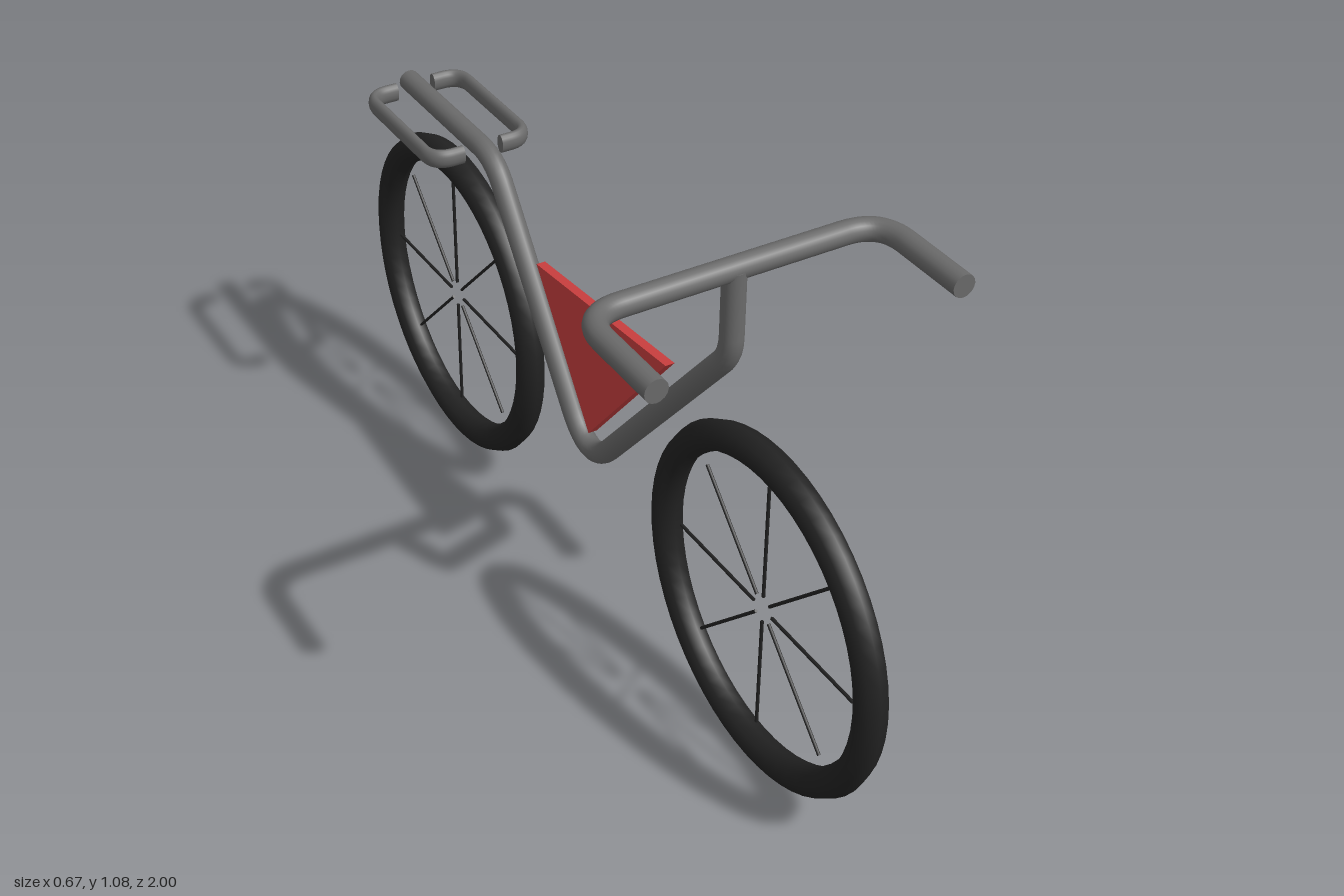
import * as THREE from 'three';

const material = (name, color, side = THREE.FrontSide) => {
  const m = new THREE.MeshStandardMaterial({ color, side });
  m.name = name;
  return m;
};

// Polyline with its inner corners rounded over the given distances
function roundedPath(points, radii) {
  const pts = points.map((p) => new THREE.Vector3(...p));
  const path = new THREE.CurvePath();
  let from = pts[0];
  for (let i = 1; i < pts.length - 1; i++) {
    const r = radii[i - 1];
    const toward = (q) => pts[i].clone().add(q.clone().sub(pts[i]).setLength(r));
    const a = toward(pts[i - 1]), b = toward(pts[i + 1]);
    path.add(new THREE.LineCurve3(from, a));
    path.add(new THREE.QuadraticBezierCurve3(a, pts[i], b));
    from = b;
  }
  path.add(new THREE.LineCurve3(from, pts[pts.length - 1]));
  return path;
}

// Round tube along a path, closed by a disc at each end
function cappedTube(name, path, radius, mat) {
  const group = new THREE.Group();
  group.name = name;
  const tube = new THREE.Mesh(new THREE.TubeGeometry(path, 110, radius, 16), mat);
  tube.name = name + 'Tube';
  group.add(tube);
  for (const t of [0, 1]) {
    const cap = new THREE.Mesh(new THREE.CircleGeometry(radius, 16), mat);
    cap.name = name + 'Cap';
    cap.position.copy(path.getPointAt(t));
    const outward = path.getTangentAt(t).multiplyScalar(t ? 1 : -1);
    cap.quaternion.setFromUnitVectors(new THREE.Vector3(0, 0, 1), outward);
    group.add(cap);
  }
  return group;
}

export function createModel() {
  const model = new THREE.Group();
  model.name = 'bicycle';
  const metal = material('grey metal', 0x6a6a6a);
  const rubber = material('black rubber', 0x222222);
  const red = material('red panel', 0xcc4040);

  // Wheels: tyre and eight loose spokes, without a hub
  const tyreGeo = new THREE.TorusGeometry(0.343, 0.032, 8, 56).rotateY(Math.PI / 2);
  const spokeGeo = new THREE.CylinderGeometry(0.0035, 0.0035, 0.26, 6).translate(0, 0.16, 0);
  for (const [name, z] of [['frontWheel', 0.625], ['rearWheel', -0.625]]) {
    const wheel = new THREE.Group();
    wheel.name = name;
    wheel.position.set(-0.002, 0.377, z);
    const tyre = new THREE.Mesh(tyreGeo, rubber);
    tyre.name = 'tyre';
    wheel.add(tyre);
    for (let i = 0; i < 8; i++) {
      const spoke = new THREE.Mesh(spokeGeo, rubber);
      spoke.name = 'spoke';
      spoke.rotation.x = (i * Math.PI) / 4;
      wheel.add(spoke);
    }
    model.add(wheel);
  }

  // One bent tube: stem, down tube, seat tube and rack bar
  const framePath = roundedPath(
    [[0, 1.055, 0.484], [0, 0.873, 0.484], [0, 0.287, -0.023], [0, 0.828, -0.424], [0, 0.828, -0.825]],
    [0.04, 0.125, 0.06]
  );
  const frame = cappedTube('frame', framePath, 0.0235, metal);
  frame.position.x = -0.002;
  model.add(frame);

  // Handlebar with grips reaching forward
  const barPath = roundedPath(
    [[-0.311, 1.055, 0.73], [-0.311, 1.055, 0.482], [0.311, 1.055, 0.482], [0.311, 1.055, 0.73]],
    [0.08, 0.08]
  );
  model.add(cappedTube('handlebar', barPath, 0.0235, metal));

  // Rack loops, taller than wide in section
  for (const side of [-1, 1]) {
    const x = side * 0.112;
    const loopPath = roundedPath(
      [[side * 0.044, 0, -0.478], [x, 0, -0.478], [x, 0, -0.797], [side * 0.044, 0, -0.797]],
      [0.045, 0.045]
    );
    const loop = cappedTube(side < 0 ? 'rightRackLoop' : 'leftRackLoop', loopPath, 0.013, metal);
    loop.scale.y = 1.6;
    loop.position.set(-0.003, 0.823, 0);
    model.add(loop);
  }

  // Triangular panel inside the frame
  const shape = new THREE.Shape([
    new THREE.Vector2(-0.281, 0.728),
    new THREE.Vector2(0.013, 0.38),
    new THREE.Vector2(0.227, 0.677),
  ]);
  const panelGeo = new THREE.ExtrudeGeometry(shape, { depth: 0.02, bevelEnabled: false });
  panelGeo.translate(0, 0, -0.01).rotateY(Math.PI / 2);
  const panel = new THREE.Mesh(panelGeo, red);
  panel.name = 'framePanel';
  panel.position.x = -0.002;
  model.add(panel);

  return model;
}
